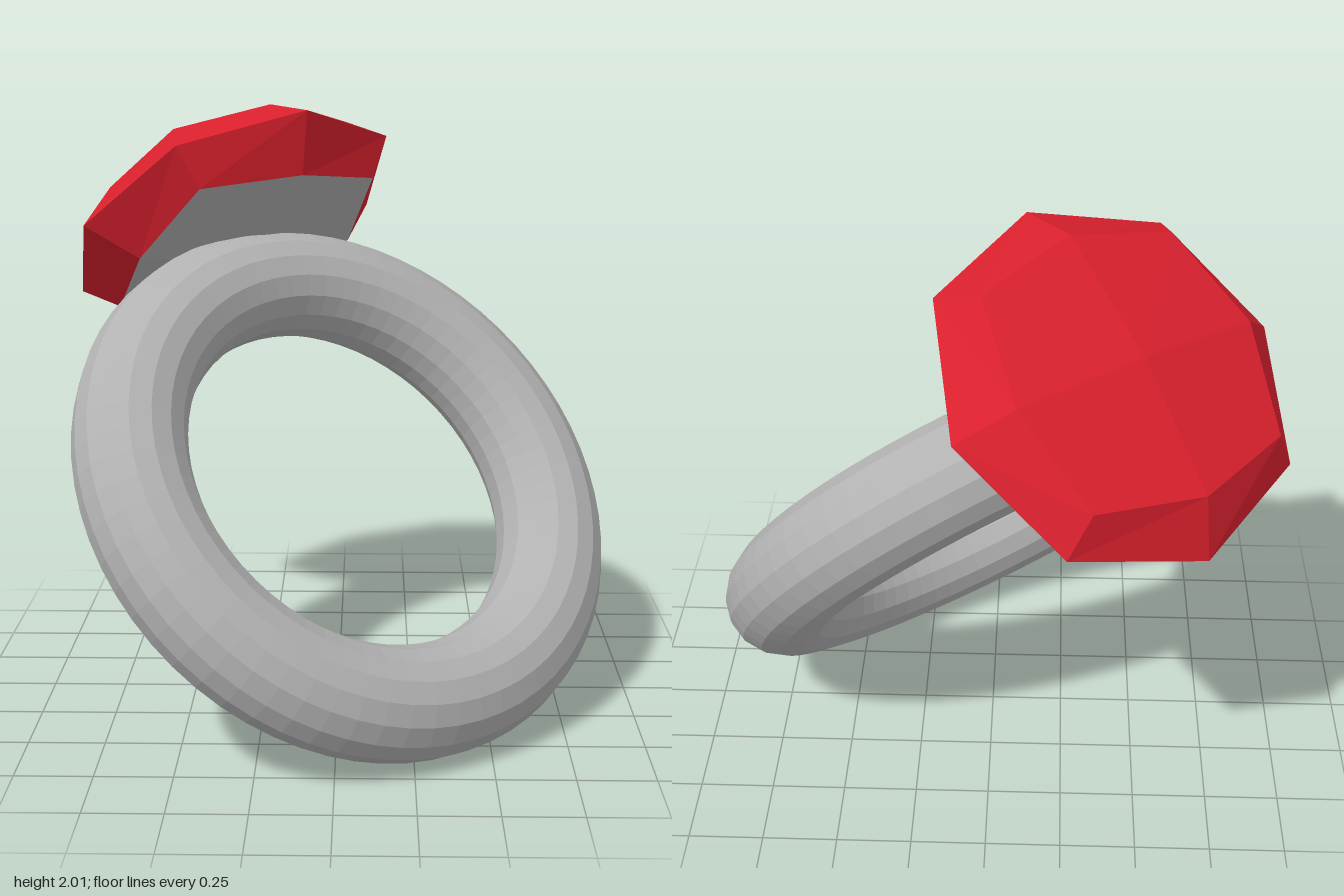
import * as THREE from 'three';

// Non-indexed faceted geometry from quads, corners counter-clockwise from outside
function quadGeometry(quads) {
  const pos = [];
  for (const [a, b, c, d] of quads) {
    for (const p of [a, b, c, a, c, d]) pos.push(p.x, p.y, p.z);
  }
  const g = new THREE.BufferGeometry();
  g.setAttribute('position', new THREE.Float32BufferAttribute(pos, 3));
  g.computeVertexNormals();
  return g;
}

export function createModel() {
  const silver = new THREE.MeshStandardMaterial({ color: 0xb2b2b2, flatShading: true });
  silver.name = 'silver';
  const ruby = new THREE.MeshStandardMaterial({ color: 0xd9202d, flatShading: true });
  ruby.name = 'ruby red';

  const model = new THREE.Group();
  model.name = 'gemRing';

  // Band: torus around local z
  const band = new THREE.Mesh(new THREE.TorusGeometry(0.786, 0.184, 16, 64), silver);
  band.name = 'band';

  // Gem: eight-sided rings, alternating between edge and corner points
  const ring = (even, odd) => Array.from({ length: 8 }, (_, i) => {
    const [r, y] = i % 2 ? odd : even;
    const a = (i * Math.PI) / 4;
    return new THREE.Vector3(r * Math.sin(a), y, r * Math.cos(a));
  });
  const girdle = ring([0.598, 0], [0.611, 0]);
  const upper = ring([0.439, 0.148], [0.504, 0.122]);
  const lower = ring([0.439, -0.148], [0.504, -0.122]);
  const topPole = new THREE.Vector3(0, 0.195, 0);
  const bottomPole = new THREE.Vector3(0, -0.195, 0);

  const stoneQuads = [];
  const baseQuads = [];
  for (let i = 0; i < 8; i++) {
    const j = (i + 1) % 8;
    stoneQuads.push([girdle[i], girdle[j], upper[j], upper[i]]);
    stoneQuads.push([lower[i], lower[j], girdle[j], girdle[i]]);
    if (i % 2 === 0) {
      const k = (i + 2) % 8;
      stoneQuads.push([topPole, upper[i], upper[j], upper[k]]);
      baseQuads.push([bottomPole, lower[k], lower[j], lower[i]]);
    }
  }
  const stone = new THREE.Mesh(quadGeometry(stoneQuads), ruby);
  stone.name = 'gemstone';
  const base = new THREE.Mesh(quadGeometry(baseQuads), silver);
  base.name = 'gemSetting';

  const gem = new THREE.Group();
  gem.name = 'gem';
  gem.position.y = 1.088;
  gem.add(stone, base);

  // Tilt the whole ring: local y points to the gem, local z along the band axis
  const tilted = new THREE.Group();
  tilted.name = 'tiltedRing';
  const up = new THREE.Vector3(-0.39, 0.76, -0.518).normalize();
  const axis = new THREE.Vector3(0.465, 0.647, 0.6);
  axis.addScaledVector(up, -axis.dot(up)).normalize();
  const side = new THREE.Vector3().crossVectors(up, axis);
  tilted.quaternion.setFromRotationMatrix(new THREE.Matrix4().makeBasis(side, up, axis));
  tilted.position.set(0.04, 0.783, 0.13);
  tilted.add(band, gem);
  model.add(tilted);
  return model;
}
